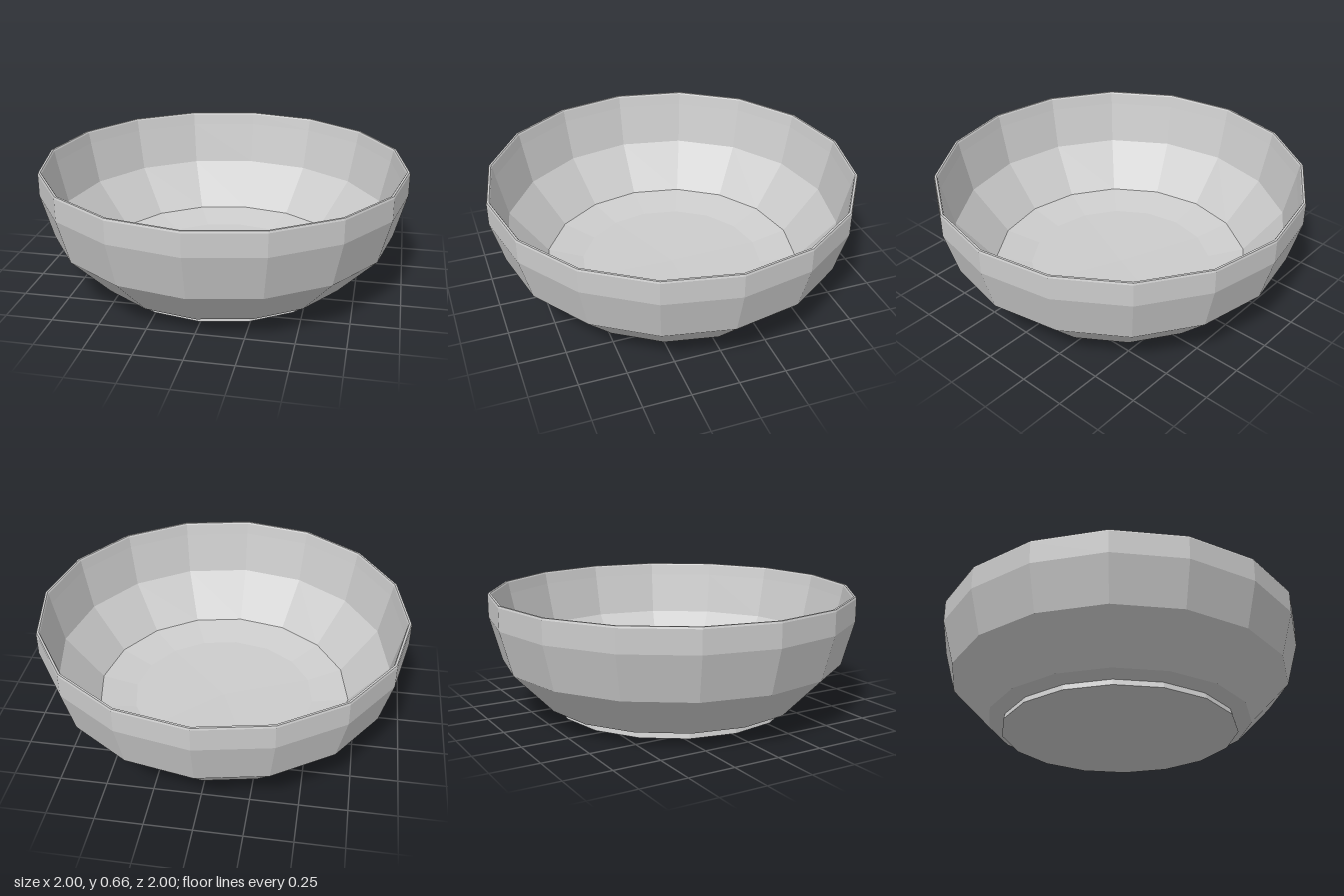
import * as THREE from 'three';

const SIDES = 16;

// One faceted, turned surface from [radius, height] pairs
function turned(name, profile, material) {
  const points = profile.map(([r, y]) => new THREE.Vector2(r, y));
  const mesh = new THREE.Mesh(new THREE.LatheGeometry(points, SIDES), material);
  mesh.name = name;
  return mesh;
}

export function createModel() {
  const group = new THREE.Group();
  group.name = 'bowl';
  const material = new THREE.MeshStandardMaterial({ color: 0xcccccc, flatShading: true });

  // Slightly domed underside and the low foot ring
  group.add(turned('foot', [[0, 0], [0.645, 0.013], [0.637, 0.045]], material));

  // Outer wall, from the foot up to the rim
  group.add(turned('outerWall',
    [[0.637, 0.045], [0.72, 0.067], [0.935, 0.29], [1, 0.53], [1, 0.65]], material));

  // Thin bevelled rim
  group.add(turned('rim', [[1, 0.65], [0.996, 0.66], [0.985, 0.66], [0.98, 0.652]], material));

  // Inner wall, from the rim down to the floor
  group.add(turned('innerWall',
    [[0.98, 0.652], [0.968, 0.59], [0.915, 0.354], [0.71, 0.11], [0.51, 0.07], [0, 0.06]], material));

  return group;
}
